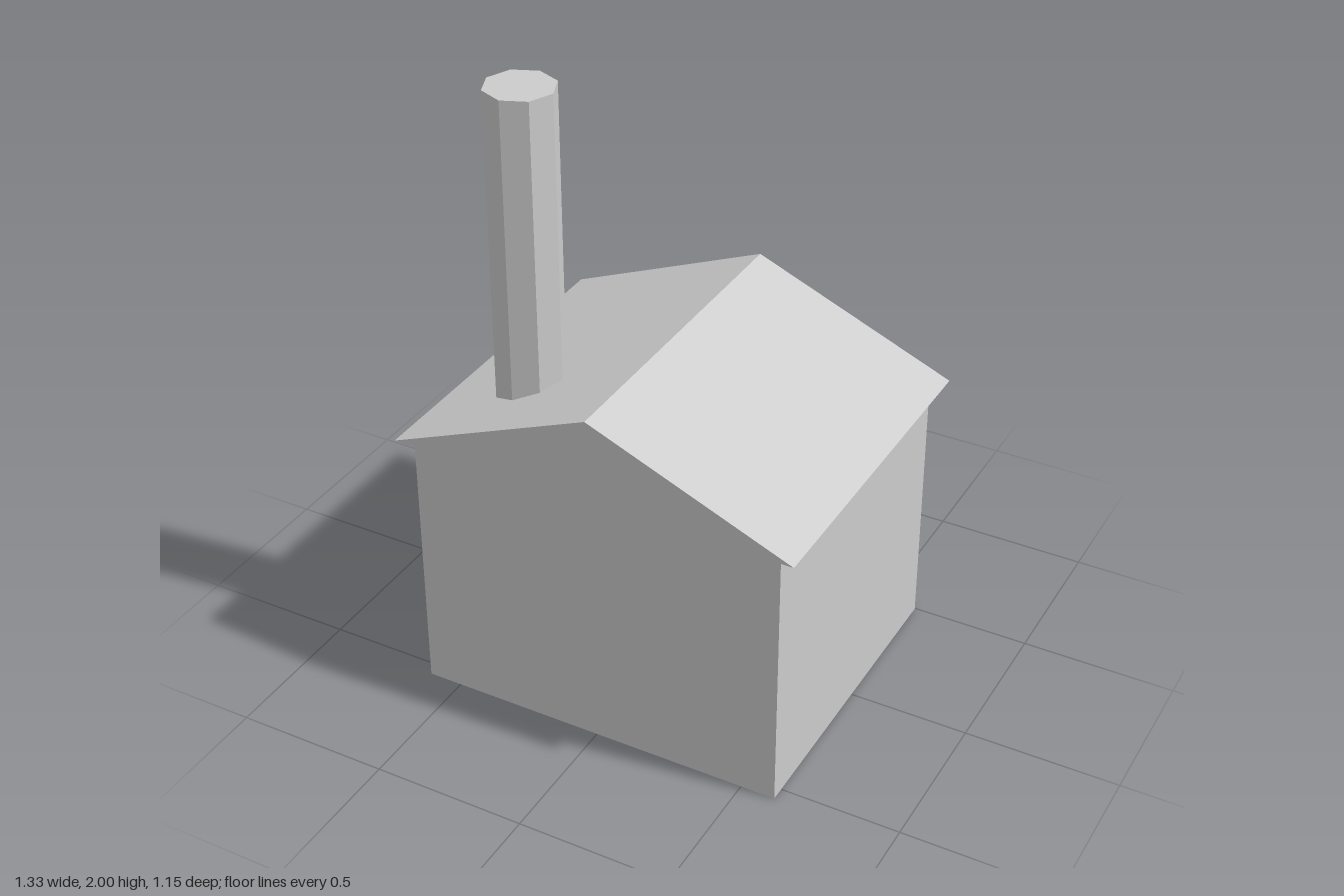
import * as THREE from 'three';

export function createModel() {
  const house = new THREE.Group();
  house.name = 'house';
  const grey = new THREE.MeshStandardMaterial({ color: 0xcccccc, flatShading: true });
  grey.name = 'plain grey';

  const add = (name, geometry, x, y, z) => {
    const mesh = new THREE.Mesh(geometry, grey);
    mesh.name = name;
    mesh.position.set(x, y, z);
    house.add(mesh);
  };

  // Walls, set slightly inside the eaves
  const eaves = 0.895;
  add('walls', new THREE.BoxGeometry(1.224, eaves, 1.044), 0, eaves / 2, 0.024);

  // Gabled roof, a triangular prism along z
  const gable = new THREE.Shape([
    new THREE.Vector2(-0.665, 0),
    new THREE.Vector2(0.665, 0),
    new THREE.Vector2(0, 0.275),
  ]);
  add('roof', new THREE.ExtrudeGeometry(gable, { depth: 1.1, bevelEnabled: false }), 0, eaves, -0.527);

  // Door slab on the back wall
  add('door', new THREE.BoxGeometry(0.444, 0.625, 0.075), 0, 0.3125, -0.5365);

  // Tall eight-sided chimney rising through the roof
  add('chimney', new THREE.CylinderGeometry(0.11, 0.11, 1.09, 8), -0.368, 1.455, 0.266);

  return house;
}
